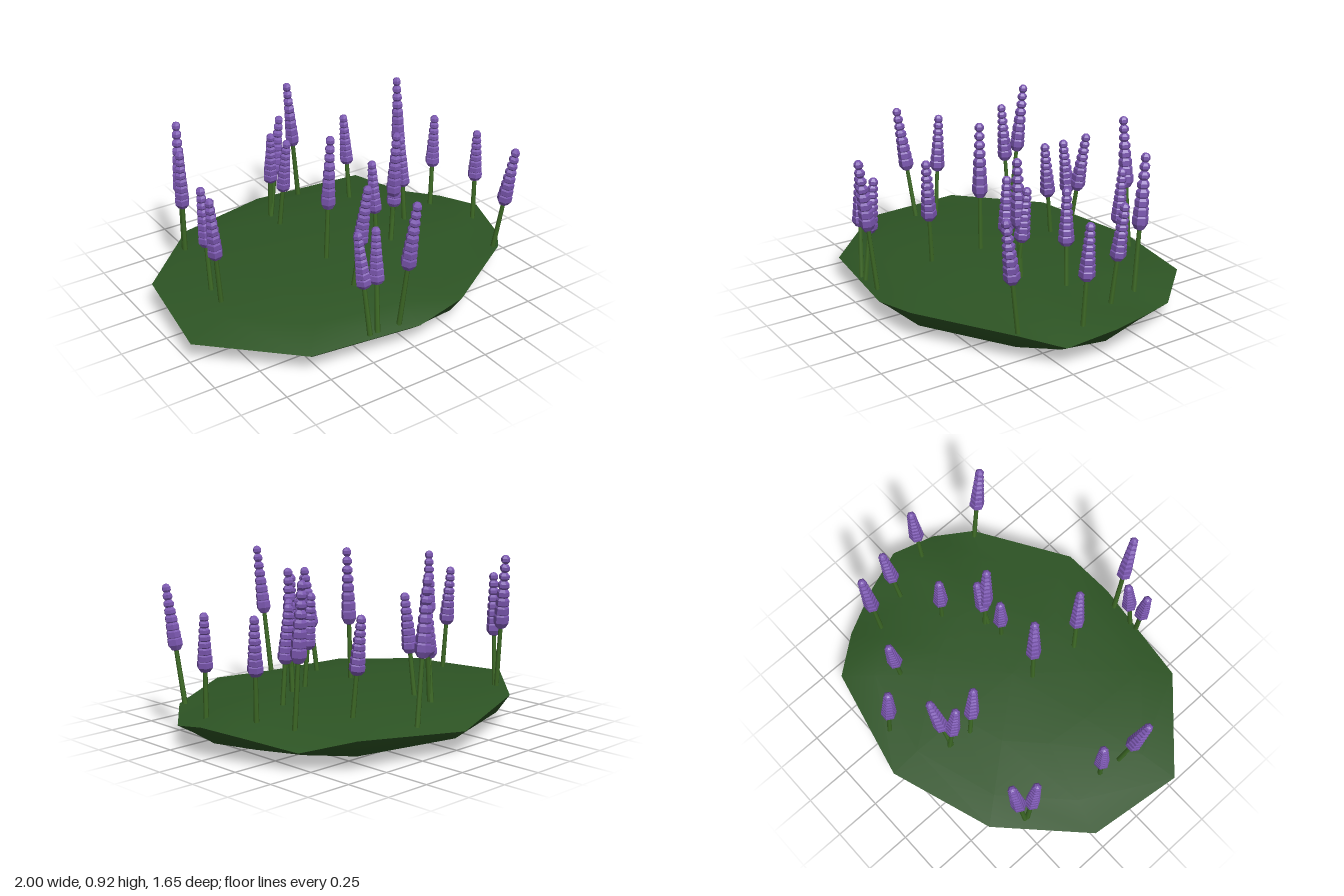
import * as THREE from 'three';

// Lavender plants: base x, base z, tip x, tip y, tip z
const PLANTS = [
  [-0.73, 0.10, -0.81, 0.82, 0.17], [-0.72, -0.02, -0.735, 0.76, -0.06],
  [-0.635, -0.47, -0.655, 0.78, -0.43], [-0.635, -0.48, -0.605, 0.89, -0.55],
  [-0.245, 0.71, -0.30, 0.72, 0.67], [-0.20, 0.71, -0.18, 0.70, 0.65],
  [-0.07, 0.71, -0.05, 0.86, 0.80], [-0.085, 0.075, -0.067, 0.92, 0.09],
  [-0.11, 0.36, -0.06, 0.78, 0.415], [0.775, 0.41, 0.81, 0.78, 0.505],
  [0.22, 0.12, 0.19, 0.71, 0.09], [0.325, 0.09, 0.325, 0.85, 0.12],
  [0.31, 0.11, 0.36, 0.70, 0.08], [0.42, -0.44, 0.40, 0.70, -0.485],
  [0.525, -0.05, 0.49, 0.71, -0.065], [0.705, -0.34, 0.695, 0.89, -0.39],
  [0.77, -0.14, 0.81, 0.71, -0.18], [0.88, 0.11, 0.895, 0.70, 0.09],
  [0.225, -0.69, 0.15, 0.88, -0.68], [-0.08, -0.50, 0.015, 0.77, -0.54],
  [-0.07, -0.52, -0.09, 0.72, -0.46], [-0.09, -0.39, -0.07, 0.73, -0.325],
];

// Rim of the ground mound, clockwise seen from above: x, y, z
const RIM = [
  [0.03, 0.12, -0.83], [0.63, 0.165, -0.69], [0.81, 0.10, -0.48], [0.92, 0.14, -0.24],
  [1.0, 0.165, 0], [0.95, 0.115, 0.25], [0.80, 0.165, 0.43], [0.31, 0.165, 0.73],
  [0.03, 0.12, 0.755], [-0.57, 0.12, 0.68], [-1.0, 0.12, 0.27], [-0.94, 0.165, -0.26],
  [-0.54, 0.165, -0.65],
];

// Surface made of shrinking copies of the rim, closed at a centre point
function cap(levels, centreY, up) {
  const n = RIM.length;
  const pos = RIM.flat();
  const idx = [];
  const tri = (a, b, c) => idx.push(...(up ? [a, c, b] : [a, b, c]));
  for (const [scale, y] of levels) {
    for (const [x, , z] of RIM) pos.push(x * scale, y, z * scale);
  }
  const centre = pos.length / 3;
  pos.push(0, centreY, 0);
  for (let k = 0; k <= levels.length; k++) {
    for (let i = 0; i < n; i++) {
      const a = k * n + i, b = k * n + (i + 1) % n;
      if (k === levels.length) tri(centre, a, b);
      else {
        tri(a, b, b + n);
        tri(a, b + n, a + n);
      }
    }
  }
  const g = new THREE.BufferGeometry();
  g.setAttribute('position', new THREE.Float32BufferAttribute(pos, 3));
  g.setIndex(idx);
  g.computeVertexNormals();
  return g;
}

export function createModel() {
  const model = new THREE.Group();
  model.name = 'lavenderPatch';

  const ground = new THREE.MeshStandardMaterial({ color: 0x2d5424 });
  ground.name = 'grassGreen';
  const stemGreen = new THREE.MeshStandardMaterial({ color: 0x3e6b26 });
  stemGreen.name = 'stemGreen';
  const purple = new THREE.MeshStandardMaterial({ color: 0x7b57b0, flatShading: true });
  purple.name = 'lavenderPurple';

  const add = (parent, name, geometry, material) => {
    const mesh = new THREE.Mesh(geometry, material);
    mesh.name = name;
    parent.add(mesh);
    return mesh;
  };

  // Shallow mound: domed top and flattened underside
  add(model, 'moundTop', cap([[0.8, 0.18], [0.45, 0.203]], 0.213, true), ground);
  add(model, 'moundUnderside', cap([[0.92, 0.07], [0.6, 0.032]], 0, false), ground);

  const beadGeometry = new THREE.SphereGeometry(1, 6, 5);
  const stemGeometry = new THREE.CylinderGeometry(0.011, 0.014, 1, 6);
  const up = new THREE.Vector3(0, 1, 0);
  const BEADS = 8;

  for (const [bx, bz, tx, ty, tz] of PLANTS) {
    const base = new THREE.Vector3(bx, 0.14, bz);
    const dir = new THREE.Vector3(tx, ty, tz).sub(base);
    const length = dir.length();
    const plant = new THREE.Group();
    plant.name = 'lavender';
    plant.position.copy(base);
    plant.quaternion.setFromUnitVectors(up, dir.normalize());
    model.add(plant);

    // Stem runs up into the flower head
    const stem = add(plant, 'stem', stemGeometry, stemGreen);
    stem.scale.y = length * 0.6;
    stem.position.y = length * 0.3;

    // Flower head of overlapping beads, tapering to the tip
    const low = length * 0.535, high = length - 0.026;
    for (let i = 0; i < BEADS; i++) {
      const t = i / (BEADS - 1);
      const bead = add(plant, 'blossom', beadGeometry, purple);
      const r = 0.043 - 0.018 * t;
      bead.scale.set(r, THREE.MathUtils.lerp(length * 0.075, 0.026, Math.min(1, t * 1.5)), r);
      bead.position.y = THREE.MathUtils.lerp(low, high, t);
    }
  }
  return model;
}
